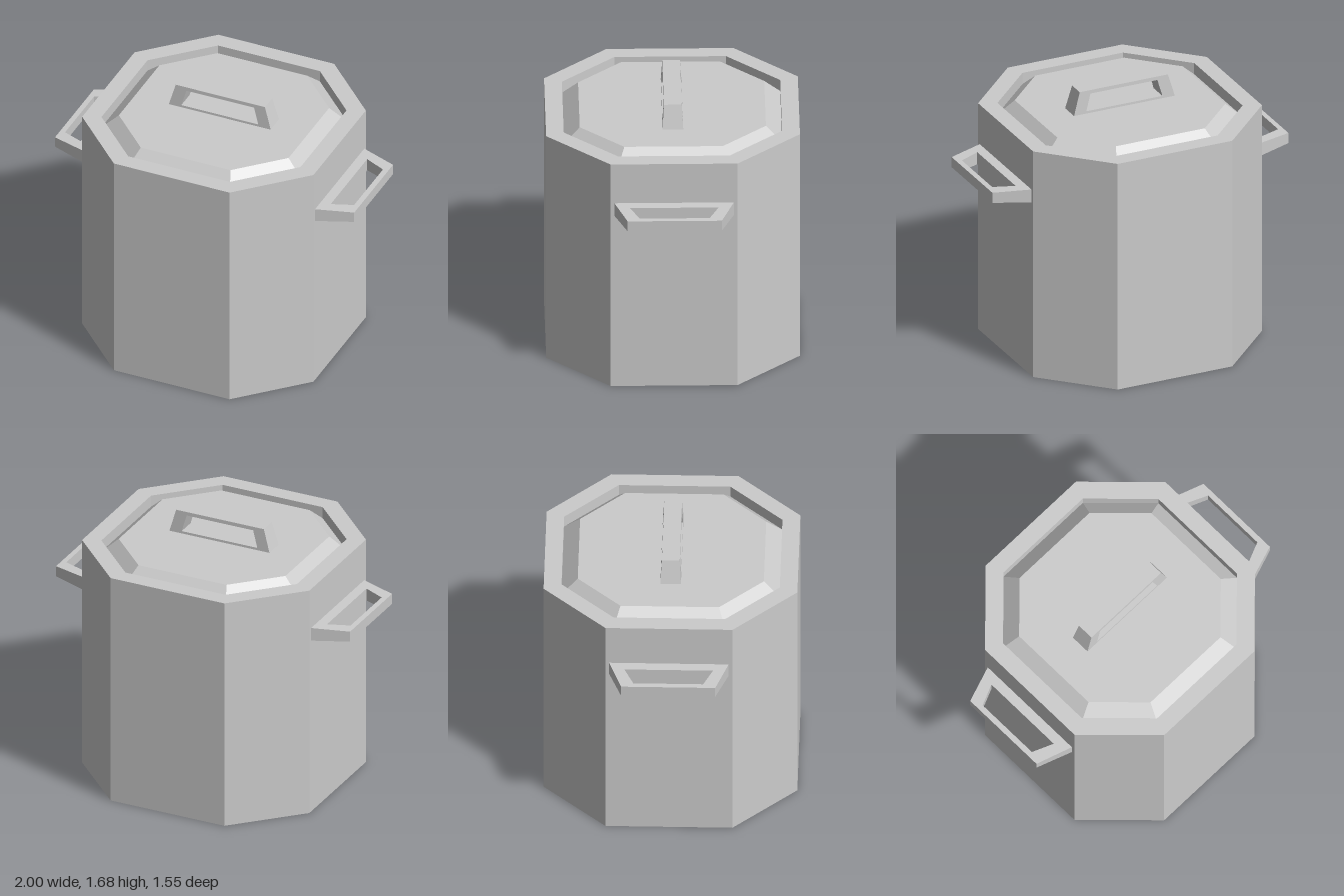
import * as THREE from 'three';

const material = new THREE.MeshStandardMaterial({ color: 0xcccccc, flatShading: true });

// Chamfered-square octagon: half width w, half length c of the straight sides
const octagon = ([w, c, y]) =>
  [[w, c], [c, w], [-c, w], [-w, c], [-w, -c], [-c, -w], [c, -w], [w, -c]]
    .map(([x, z]) => [x, y, z]);

// Skin through octagon rings, ordered from bottom centre up the outside
function loft(rings) {
  const loops = rings.map(octagon);
  const positions = [];
  for (let r = 0; r < loops.length - 1; r++) {
    for (let i = 0; i < 8; i++) {
      const j = (i + 1) % 8;
      const a = loops[r][i], b = loops[r][j], c = loops[r + 1][j], d = loops[r + 1][i];
      if (rings[r][0] > 0) positions.push(...a, ...c, ...b);
      if (rings[r + 1][0] > 0) positions.push(...a, ...d, ...c);
    }
  }
  // A ring collapsed to a point at the far end still needs its fan
  const geometry = new THREE.BufferGeometry();
  geometry.setAttribute('position', new THREE.Float32BufferAttribute(positions, 3));
  geometry.computeVertexNormals();
  return geometry;
}

// Trapezoid from half width w0 at height y0 to w1 at y1
const trapezoid = (w0, y0, w1, y1) =>
  [[-w0, y0], [w0, y0], [w1, y1], [-w1, y1]].map(([x, y]) => new THREE.Vector2(x, y));

// Trapezoid frame whose thickness narrows from its base to its grip
function handleGeometry(outer, hole, baseHalf, tipHalf) {
  const shape = new THREE.Shape(trapezoid(...outer));
  shape.holes.push(new THREE.Path(trapezoid(...hole)));
  const geometry = new THREE.ExtrudeGeometry(shape, { depth: 2, bevelEnabled: false });
  geometry.translate(0, 0, -1);
  const p = geometry.attributes.position;
  for (let i = 0; i < p.count; i++) {
    const t = (p.getY(i) - outer[1]) / (outer[3] - outer[1]);
    p.setZ(i, p.getZ(i) * THREE.MathUtils.lerp(baseHalf, tipHalf, t));
  }
  geometry.computeVertexNormals();
  return geometry;
}

export function createModel() {
  const model = new THREE.Group();
  model.name = 'cookingPot';
  const add = (name, geometry) => {
    const mesh = new THREE.Mesh(geometry, material);
    mesh.name = name;
    model.add(mesh);
    return mesh;
  };

  // Body: floor, outer wall, flat rim and the step down to the lid
  add('potBody', loft([
    [0, 0, 0], [0.773, 0.387, 0], [0.773, 0.387, 1.515],
    [0.665, 0.34, 1.515], [0.665, 0.34, 1.44],
  ]));

  // Lid: bevelled plate sunk inside the rim
  add('lid', loft([[0.665, 0.34, 1.44], [0.567, 0.3, 1.53], [0, 0, 1.53]]));

  // Grip on the lid
  add('lidHandle', handleGeometry(
    [0.341, 1.528, 0.298, 1.678], [0.257, 1.545, 0.226, 1.655], 0.063, 0.054));

  // Side handles, with the frame laid flat and pointing outwards
  const sideGeometry = handleGeometry(
    [0.365, 0.77, 0.287, 1], [0.27, 0.835, 0.213, 0.966], 0.043, 0.034);
  sideGeometry.applyMatrix4(new THREE.Matrix4().makeBasis(
    new THREE.Vector3(0, 0, 1), new THREE.Vector3(1, 0, 0), new THREE.Vector3(0, 1, 0)));
  for (const [name, turn] of [['leftHandle', 0], ['rightHandle', Math.PI]]) {
    const handle = add(name, sideGeometry);
    handle.position.y = 1.207;
    handle.rotation.y = turn;
  }
  return model;
}
